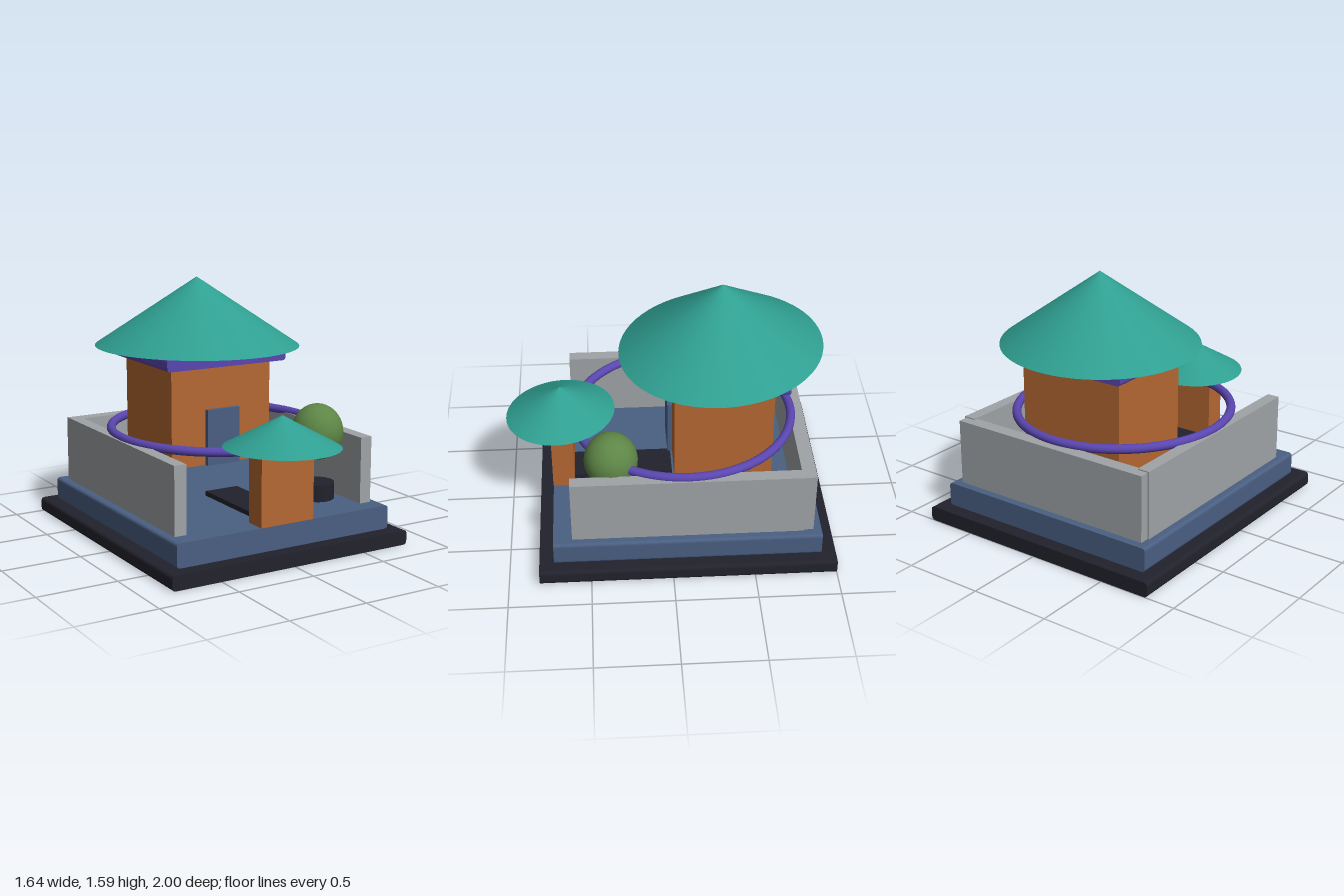
import * as THREE from 'three';

const mat = (name, color) => {
  const m = new THREE.MeshStandardMaterial({ color });
  m.name = name;
  return m;
};

export function createModel() {
  const model = new THREE.Group();
  model.name = 'walledPavilion';

  const black = mat('black', 0x22222d);
  const blue = mat('slateBlue', 0x4a5f82);
  const grey = mat('stoneGrey', 0xa0a4a7);
  const brown = mat('brown', 0xb56833);
  const purple = mat('purple', 0x5a46b0);
  const teal = mat('teal', 0x2f9f91);
  const green = mat('green', 0x5e8646);

  const add = (name, geometry, material, x = 0, y = 0, z = 0) => {
    const mesh = new THREE.Mesh(geometry, material);
    mesh.name = name;
    mesh.position.set(x, y, z);
    model.add(mesh);
    return mesh;
  };

  // Box given by its limits on each axis
  const block = (name, material, [x0, x1], [y0, y1], [z0, z1]) =>
    add(name, new THREE.BoxGeometry(x1 - x0, y1 - y0, z1 - z0), material,
      (x0 + x1) / 2, (y0 + y1) / 2, (z0 + z1) / 2);

  // Slab with its long edges rounded, running along z
  const slab = (name, material, w, [y0, y1], [z0, z1], r) => {
    const a = w / 2;
    const s = new THREE.Shape();
    s.moveTo(-a + r, y0).lineTo(a - r, y0).quadraticCurveTo(a, y0, a, y0 + r);
    s.lineTo(a, y1 - r).quadraticCurveTo(a, y1, a - r, y1);
    s.lineTo(-a + r, y1).quadraticCurveTo(-a, y1, -a, y1 - r);
    s.lineTo(-a, y0 + r).quadraticCurveTo(-a, y0, -a + r, y0);
    const g = new THREE.ExtrudeGeometry(s, { depth: z1 - z0, bevelEnabled: false, curveSegments: 6 });
    add(name, g, material, 0, 0, z0);
  };

  // Conical roof, slightly stretched along the diagonal
  const roof = (name, radius, y0, y1, z) => {
    const g = new THREE.ConeGeometry(radius, y1 - y0, 64);
    g.scale(1.044, 1, 0.954).rotateY(-Math.PI / 4);
    add(name, g, teal, 0, (y0 + y1) / 2, z);
  };

  // Stepped base
  slab('base', black, 1.64, [0, 0.092], [-1, 0.815], 0.025);
  slab('plinth', blue, 1.48, [0.092, 0.24], [-0.91, 0.725], 0.022);

  // Courtyard walls
  for (const [name, x0] of [['leftWall', 0.612], ['rightWall', -0.69]]) {
    block(name, grey, [x0, x0 + 0.078], [0.24, 0.657], [-0.8, 0.61]);
  }
  block('backWall', grey, [-0.68, 0.68], [0.24, 0.65], [-0.86, -0.775]);

  // Main house
  block('house', brown, [-0.355, 0.355], [0.44, 1.07], [-0.63, -0.03]);
  block('door', blue, [-0.115, 0.115], [0.44, 0.795], [-0.03, 0]);
  slab('eavesSlab', purple, 0.85, [1.07, 1.152], [-0.71, 0.05], 0.025);
  roof('houseRoof', 0.628, 1.152, 1.586, -0.335);

  // Gatehouse and path
  block('gatehouse', brown, [-0.182, 0.182], [0.24, 0.69], [0.59, 0.727]);
  roof('gateRoof', 0.338, 0.69, 0.88, 0.662);
  block('path', black, [-0.115, 0.115], [0.24, 0.27], [-0.03, 0.59]);

  // Elliptical rail around the house
  const rail = new THREE.EllipseCurve(0, 0, 0.652, 0.682);
  const railPoints = rail.getPoints(64).slice(0, -1).map(p => new THREE.Vector3(p.x, 0, p.y));
  const railPath = new THREE.CatmullRomCurve3(railPoints, true);
  add('ringRail', new THREE.TubeGeometry(railPath, 96, 0.028, 14, true), purple, 0, 0.663, -0.1);

  // Round tree and its pot
  const crown = add('treeCrown', new THREE.SphereGeometry(1, 32, 24), green, 0.46, 0.665, 0.36);
  crown.scale.set(0.16, 0.176, 0.163);
  add('treePot', new THREE.CylinderGeometry(0.11, 0.11, 0.105, 32), black, 0.46, 0.2925, 0.36);

  return model;
}
